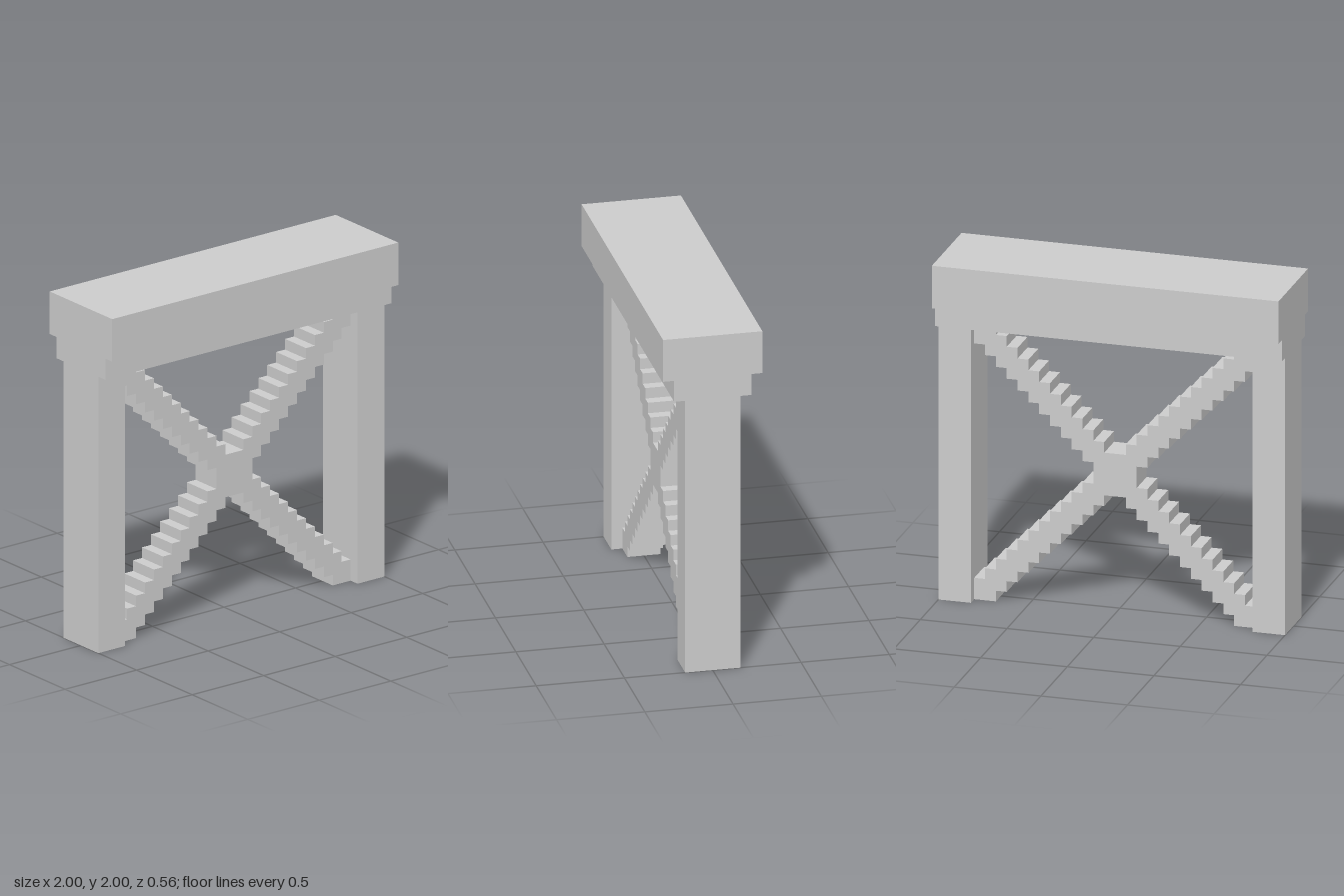
import * as THREE from 'three';

const U = 1 / 16; // one block of the grid

export function createModel() {
  const group = new THREE.Group();
  const material = new THREE.MeshStandardMaterial({ color: 0xcccccc, flatShading: true });

  // Box sized in grid blocks, standing on height y
  function addBox(name, w, h, d, x, y) {
    const mesh = new THREE.Mesh(new THREE.BoxGeometry(w * U, h * U, d * U), material);
    mesh.position.set(x * U, (y + h / 2) * U, 0);
    mesh.name = name;
    group.add(mesh);
  }

  // Beams and posts
  addBox('topBeam', 32, 4, 9, 0, 28);
  addBox('lowerBeam', 32, 2, 7, 0, 26);
  addBox('leftPost', 3, 26, 5, 14.5, 0);
  addBox('rightPost', 3, 26, 5, -14.5, 0);

  // Stepped cross brace: one arm's outline, turned four times
  const lower = [];
  for (let j = 1; j <= 11; j++) lower.push([j + 1, j], [j + 2, j]);
  const upper = lower.map(([x, y]) => [y, x]).reverse();
  let arm = [...lower, [13, 13], ...upper];
  const outline = [];
  for (let i = 0; i < 4; i++) {
    outline.push(...arm.map(([x, y]) => new THREE.Vector2(x * U, y * U)));
    arm = arm.map(([x, y]) => [-y, x]);
  }
  const depth = 3 * U;
  const geometry = new THREE.ExtrudeGeometry(new THREE.Shape(outline), { depth, bevelEnabled: false });
  const brace = new THREE.Mesh(geometry, material);
  brace.position.set(0, 13 * U, -depth / 2);
  brace.name = 'crossBrace';
  group.add(brace);

  return group;
}
